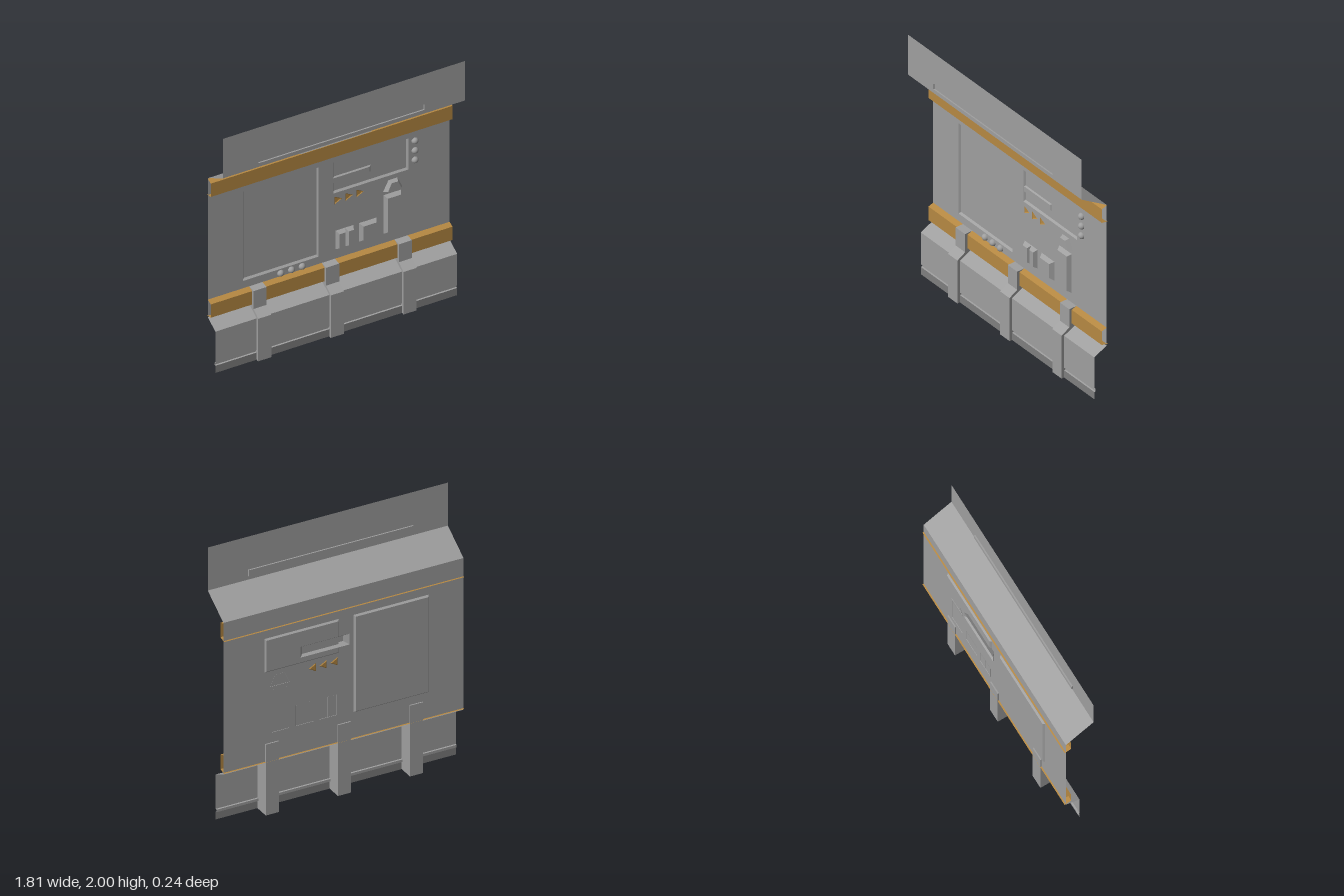
import * as THREE from 'three';

const WALL = -0.093; // z of the main wall face
const HALF = 0.903; // half width of the panel
const material = (color, flatShading = true) =>
  new THREE.MeshStandardMaterial({ color, side: THREE.DoubleSide, flatShading });
const grey = material(0x9f9f9f);
const smoothGrey = material(0x9f9f9f, false);
const darkGrey = material(0x7f7f7f);
const orange = material(0xb58842);

const rect = (x0, x1, y0, y1) => [[x0, y0], [x1, y0], [x1, y1], [x0, y1]];
const toPath = (pts, Type = THREE.Shape) => new Type(pts.map(([x, y]) => new THREE.Vector2(x, y)));

function fromQuads(quads) {
  const pos = [];
  for (const [a, b, c, d] of quads) pos.push(...a, ...b, ...c, ...a, ...c, ...d);
  const geo = new THREE.BufferGeometry();
  geo.setAttribute('position', new THREE.Float32BufferAttribute(pos, 3));
  geo.computeVertexNormals();
  return geo;
}

export function createModel() {
  const model = new THREE.Group();
  model.name = 'wallPanel';

  function add(name, geo, mat = grey, parent = model) {
    const mesh = new THREE.Mesh(geo, mat);
    mesh.name = name;
    parent.add(mesh);
    return mesh;
  }

  // Flat sheet in the xy plane with cut-outs
  function plate(name, outline, holes, z, mat = grey, parent = model) {
    const shape = toPath(outline);
    shape.holes = holes.map((h) => toPath(h, THREE.Path));
    add(name, new THREE.ShapeGeometry(shape), mat, parent).position.z = z;
  }

  // Folded sheet: a [z, y] profile, listed top to bottom, across the full width
  function sheet(name, profile, mat = grey) {
    const quads = profile.slice(1).map(([z1, y1], i) => {
      const [z0, y0] = profile[i];
      return [[-HALF, y0, z0], [-HALF, y1, z1], [HALF, y1, z1], [HALF, y0, z0]];
    });
    add(name, fromQuads(quads), mat);
  }

  // Raised or sunken relief: sloping sides from outer to inner outline, then a face
  function relief(name, outer, inner, z0, z1, mat = grey) {
    const group = new THREE.Group();
    group.name = name;
    model.add(group);
    const sides = outer.map((a, i) => {
      const j = (i + 1) % outer.length;
      return [[...a, z0], [...outer[j], z0], [...inner[j], z1], [...inner[i], z1]];
    });
    add(name + 'Sides', fromQuads(sides), mat, group);
    plate(name + 'Face', inner, [], z1, mat, group);
  }

  // Reliefs sunk into the wall, which is cut out in front of them
  const wallHoles = [];
  function sunken(name, outer, inner, z1, mat) {
    wallHoles.push(outer);
    relief(name, outer, inner, WALL, z1, mat);
  }
  sunken('screen', rect(-0.64, -0.075, 0.595, 1.33), rect(-0.63, -0.085, 0.607, 1.32), -0.107);
  sunken('displayWindow', rect(0.035, 0.595, 1.075, 1.33), rect(0.045, 0.585, 1.087, 1.32), -0.106);
  for (const x of [0.045, 0.127, 0.208]) {
    sunken('arrowMarker',
      [[x, 0.983], [x + 0.054, 1.014], [x, 1.045]],
      [[x + 0.005, 0.992], [x + 0.044, 1.014], [x + 0.005, 1.036]], WALL - 0.004, orange);
  }

  // Bevelled bar that pierces the display window
  relief('displayBar', rect(-0.03, 0.34, 1.135, 1.217), rect(0.005, 0.308, 1.157, 1.197), -0.124, WALL - 0.003);

  // Raised keys with bevelled sides
  const key = (name, outer, inner) => relief(name, outer, inner, WALL - 0.002, -0.063);
  key('narrowKeyA', rect(0.05, 0.122, 0.61, 0.765), rect(0.066, 0.11, 0.632, 0.748));
  key('narrowKeyB', rect(0.118, 0.185, 0.61, 0.765), rect(0.134, 0.172, 0.632, 0.748));
  key('squareKey', rect(0.225, 0.36, 0.61, 0.765), rect(0.245, 0.34, 0.635, 0.748));
  key('tallKey', rect(0.41, 0.54, 0.61, 0.93), rect(0.426, 0.524, 0.635, 0.913));
  key('trapezoidKey',
    [[0.405, 0.957], [0.55, 0.957], [0.513, 1.04], [0.445, 1.04]],
    [[0.428, 0.967], [0.527, 0.967], [0.502, 1.03], [0.454, 1.03]]);

  // Domed studs
  const stud = new THREE.SphereGeometry(0.025, 16, 6, 0, Math.PI * 2, 0, Math.PI / 2).rotateX(Math.PI / 2);
  const studs = [[-0.36, 0.562], [-0.28, 0.562], [-0.2, 0.562], [0.643, 1.14], [0.643, 1.218], [0.643, 1.297]];
  for (const [x, y] of studs) add('stud', stud, smoothGrey).position.set(x, y, WALL);

  plate('mainWall', rect(-HALF, HALF, 0.395, 1.535), wallHoles, WALL);

  // Orange rails above and below the controls
  for (const y of [1.395, 0.4]) {
    sheet('rail', [[WALL, y + 0.135], [-0.052, y + 0.122], [-0.052, y + 0.012], [-0.103, y]], orange);
  }

  // Sloping skirt with a groove and a kick strip
  sheet('skirt', [[WALL, 0.39], [0.012, 0.34], [0.012, 0.08], [0, 0.079], [0, 0.06], [0.012, 0.059]]);
  sheet('kickStrip', [[0.012, 0.059], [0.012, 0]], darkGrey);

  // Pillars: side profile extruded across x
  const pillarProfile = [[0.102, 0], [0.102, 0.535], [0.032, 0.535], [0.032, 0.388], [-0.033, 0.35], [-0.033, 0]];
  const pillar = new THREE.ExtrudeGeometry(toPath(pillarProfile), { depth: 0.098, bevelEnabled: false })
    .translate(0, 0, -0.049).rotateY(Math.PI / 2);
  for (const x of [-0.545, -0.003, 0.54]) add('pillar', pillar).position.x = x;

  // Sloping canopy and the upright board on top of it
  sheet('canopy', [[0.12, 1.675], [WALL, 1.535]]);
  const strip = rect(-0.64, 0.6, 1.705, 1.75);
  plate('upperBoard', rect(-HALF, HALF, 1.675, 2), [strip], 0.12);
  relief('upperRecess', strip, strip, 0.12, 0.11);

  // Lamp frame under the canopy
  const frame = toPath(rect(-0.26, 0.26, -0.045, 0.045));
  frame.holes.push(toPath(rect(-0.235, 0.235, -0.025, 0.025), THREE.Path));
  const lamp = add('lampFrame', new THREE.ExtrudeGeometry(frame, { depth: 0.016, bevelEnabled: false }));
  lamp.position.set(-0.02, 1.604, 0.0125);
  lamp.rotation.x = Math.atan2(0.213, 0.14);

  return model;
}
